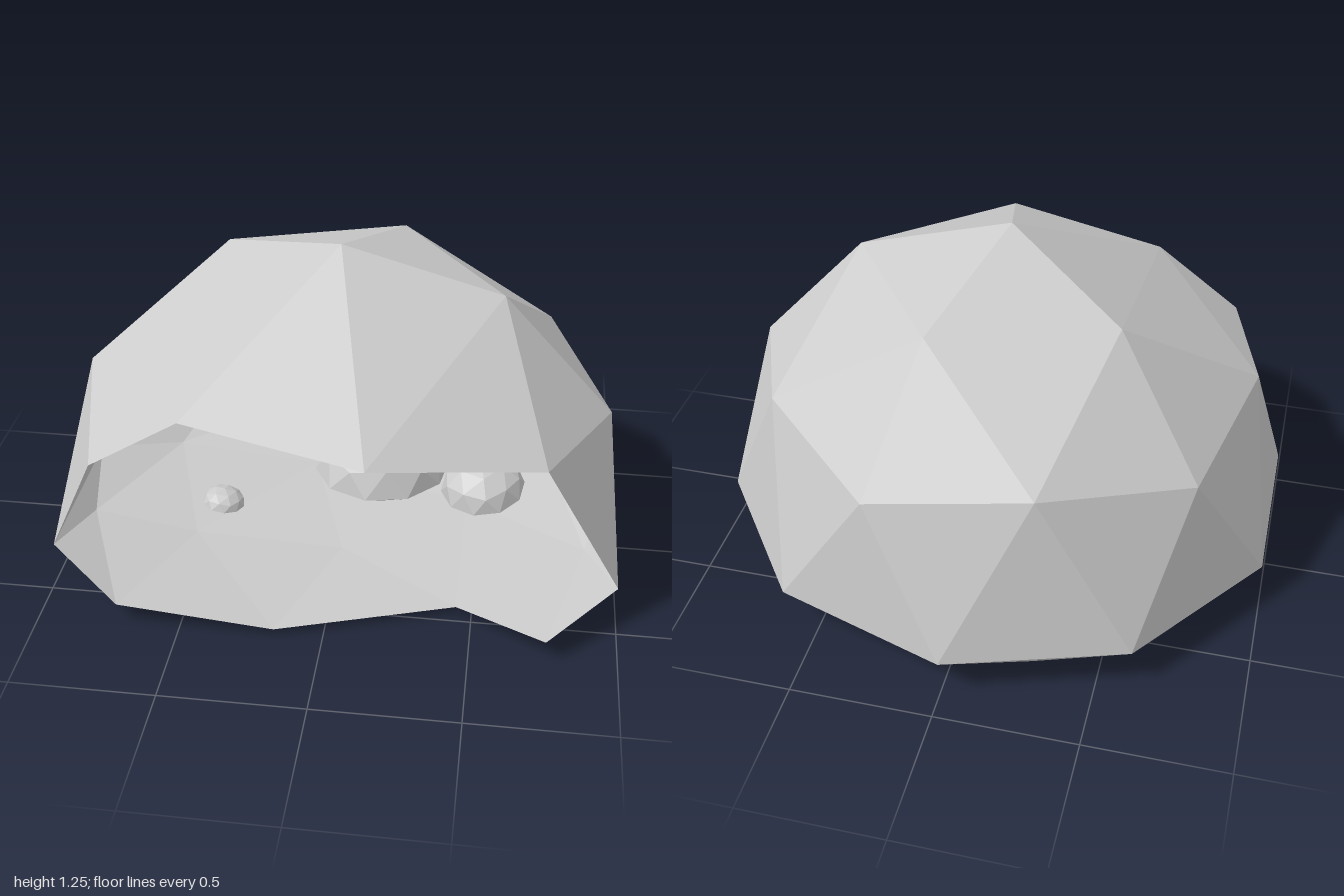
import * as THREE from 'three';

// Low-poly sphere of unit radius with a vertex at the pole and one of its neighbours towards +x
function poleSphere() {
  const t = (1 + Math.sqrt(5)) / 2;
  const up = new THREE.Vector3(-1, t, 0).normalize();
  const side = new THREE.Vector3(1, t, 0);
  side.addScaledVector(up, -side.dot(up)).normalize();
  const basis = new THREE.Matrix4().makeBasis(side, up, new THREE.Vector3().crossVectors(side, up));
  return new THREE.IcosahedronGeometry(1, 1).applyMatrix4(basis.transpose());
}

// Rebuild a sphere from the triangles that pass keep(), moving each vertex by move()
function sculpt(keep, move) {
  const src = poleSphere().getAttribute('position');
  const points = [];
  for (let i = 0; i < src.count; i += 3) {
    const tri = [0, 1, 2].map(k => new THREE.Vector3().fromBufferAttribute(src, i + k));
    if (keep(tri)) points.push(...tri.map(move));
  }
  const geometry = new THREE.BufferGeometry().setFromPoints(points);
  geometry.computeVertexNormals();
  return geometry;
}

export function createModel() {
  const group = new THREE.Group();
  const material = new THREE.MeshStandardMaterial({
    color: 0xcccccc, flatShading: true, side: THREE.DoubleSide,
  });
  const add = (name, geometry) => {
    const mesh = new THREE.Mesh(geometry, material);
    mesh.name = name;
    group.add(mesh);
    return mesh;
  };

  const R = 1.046, centreZ = 0.13, rimY = 0.16;
  const closed = tri => tri.every(v => v.z < 0.7); // the mouth is cut out of the front
  const isUpper = tri => tri[0].y + tri[1].y + tri[2].y > 0;

  // Cave dome, with the two front vertices of the top ring pulled out as a brim
  add('caveDome', sculpt(tri => closed(tri) && isUpper(tri), v => {
    const brim = v.y > 0.8 && v.y < 0.95 && v.z > 0.2;
    const y = v.y < 0.01 ? rimY : 0.2 + v.y * R;
    return new THREE.Vector3(v.x * R, y - (brim ? 0.215 : 0), v.z * R + centreZ + (brim ? 0.26 : 0));
  }));

  // Shallow bowl floor, the lower half flattened
  add('caveFloor', sculpt(tri => closed(tri) && !isUpper(tri), v =>
    new THREE.Vector3(v.x * R, rimY * (1 + v.y), v.z * R + centreZ)));

  // Boulders: rounded tops on nearly flat undersides
  const rockGeometry = sculpt(() => true, v =>
    new THREE.Vector3(v.x, v.y < 0 ? v.y * 0.13 : v.y, v.z));
  const rocks = [
    ['largeRock', [0.105, 0.095, -0.3], [0.265, 0.205, 0.25], [0, 0.5, 0]],
    ['mediumRock', [0.505, 0.11, -0.18], [0.165, 0.135, 0.16], [0, 1.1, 0.17]],
    ['smallRock', [-0.465, 0.1, 0.03], [0.08, 0.057, 0.08], [0, 0.2, -0.12]],
  ];
  for (const [name, position, scale, rotation] of rocks) {
    const rock = add(name, rockGeometry);
    rock.position.set(...position);
    rock.scale.set(...scale);
    rock.rotation.set(...rotation);
  }
  return group;
}
